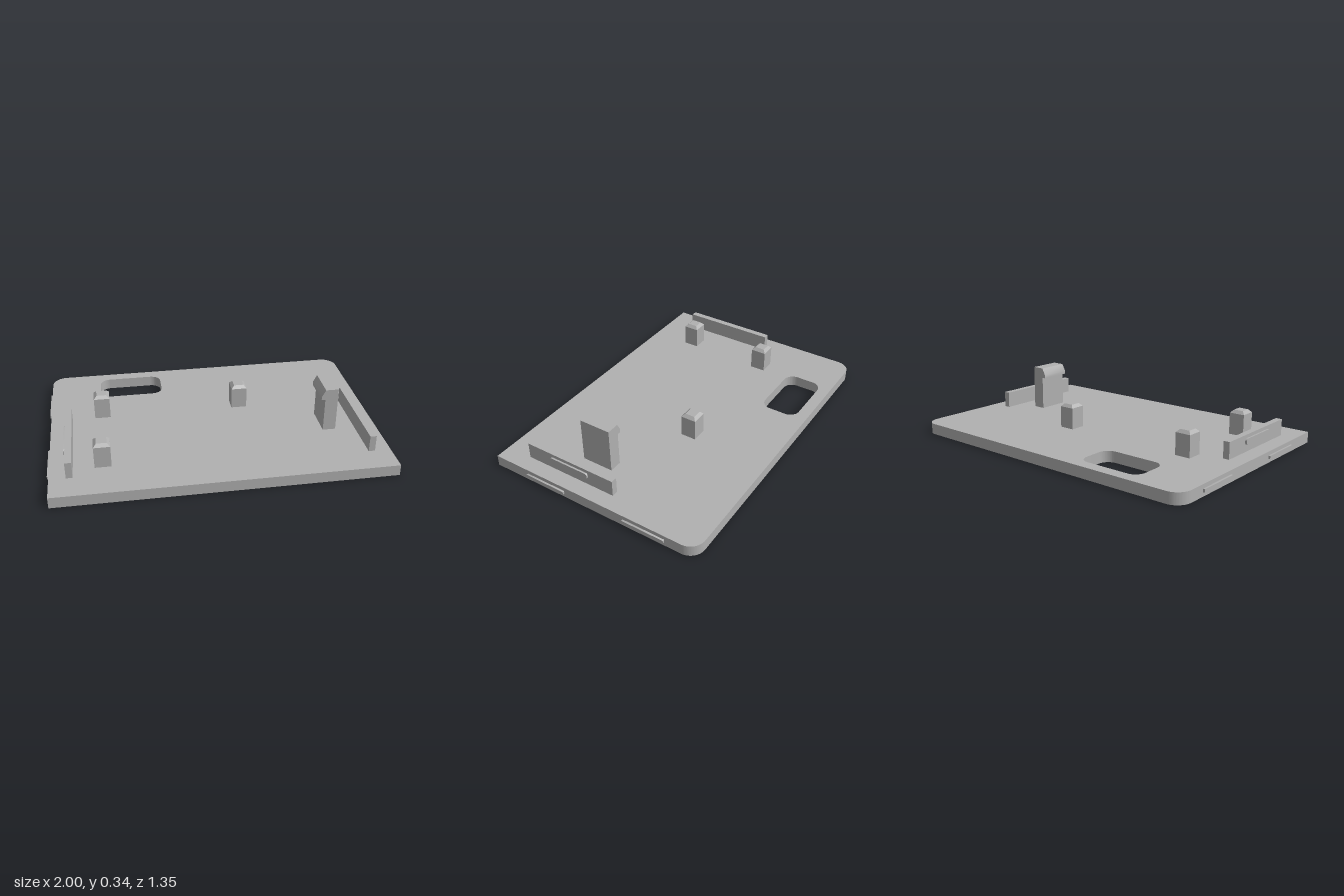
import * as THREE from 'three';
import { toCreasedNormals } from 'three/addons/utils/BufferGeometryUtils.js';

const BASE_TOP = 0.067;

// Rounded rectangle; rb and rt are the lower and upper corner radii
function roundedRect(path, x0, y0, x1, y1, rb, rt) {
  path.moveTo(x0 + rb, y0);
  path.lineTo(x1 - rb, y0);
  if (rb) path.absarc(x1 - rb, y0 + rb, rb, -Math.PI / 2, 0, false);
  path.lineTo(x1, y1 - rt);
  path.absarc(x1 - rt, y1 - rt, rt, 0, Math.PI / 2, false);
  path.lineTo(x0 + rt, y1);
  path.absarc(x0 + rt, y1 - rt, rt, Math.PI / 2, Math.PI, false);
  path.lineTo(x0, y0 + rb);
  if (rb) path.absarc(x0 + rb, y0 + rb, rb, Math.PI, Math.PI * 1.5, false);
  return path;
}

function extrude(shape, depth) {
  const geo = new THREE.ExtrudeGeometry(shape, { depth, bevelEnabled: false, curveSegments: 12 });
  return toCreasedNormals(geo, 0.5);
}

export function createModel() {
  const group = new THREE.Group();
  const grey = new THREE.MeshStandardMaterial({ color: 0xb0b0b0 });
  grey.name = 'grey plastic';

  function add(name, geo, x = 0, y = 0, z = 0, parent = group) {
    const mesh = new THREE.Mesh(geo, grey);
    mesh.name = name;
    mesh.position.set(x, y, z);
    parent.add(mesh);
    return mesh;
  }

  // Cover plate with rounded back corners and a window
  const plate = roundedRect(new THREE.Shape(), -0.988, -0.677, 0.988, 0.677, 0, 0.09);
  plate.holes.push(roundedRect(new THREE.Path(), -0.67, 0.37, -0.267, 0.605, 0.065, 0.065));
  add('coverPlate', extrude(plate, BASE_TOP).rotateX(-Math.PI / 2));

  // Square pegs with chamfered tops
  const W = 0.096, CHAMFER = 0.018, PEG_TOP = 0.217;
  const frustum = (bottom, top, h) => new THREE.CylinderGeometry(
    top / Math.SQRT2, bottom / Math.SQRT2, h, 4).rotateY(Math.PI / 4).toNonIndexed();
  const shaftH = PEG_TOP - CHAMFER - BASE_TOP;
  for (const [x, z] of [[-0.668, -0.156], [0.199, -0.156], [-0.684, 0.385]]) {
    const peg = new THREE.Group();
    peg.name = 'peg';
    peg.position.set(x, BASE_TOP, z);
    add('pegShaft', new THREE.BoxGeometry(W, shaftH, W), 0, shaftH / 2, 0, peg);
    const cap = frustum(W, W - 0.036, CHAMFER);
    cap.computeVertexNormals();
    add('pegChamfer', cap, 0, shaftH + CHAMFER / 2, 0, peg);
    group.add(peg);
  }

  // Snap hook with a lip facing inward
  const hook = new THREE.Shape([
    [0.655, BASE_TOP], [0.733, BASE_TOP], [0.733, 0.342], [0.655, 0.342],
    [0.632, 0.298], [0.632, 0.277], [0.655, 0.277],
  ].map(([x, y]) => new THREE.Vector2(x, y)));
  add('snapHook', extrude(hook, 0.196), 0, 0, 0.046);

  // Thin ridge running along z, standing out sideways
  const ridge = (len, h, r, thick) => {
    const s = roundedRect(new THREE.Shape(), -len / 2, -h / 2, len / 2, h / 2, r, r);
    return extrude(s, thick).translate(0, 0, -thick / 2).rotateY(Math.PI / 2);
  };

  // Mirrored side rails, their latch ridges and the edge ridges
  for (const side of [1, -1]) {
    add('sideRail', new THREE.BoxGeometry(0.038, 0.1, 0.595), side * 0.873, BASE_TOP + 0.05, 0.2125);
    add('railRidge', ridge(0.264, 0.037, 0.015, 0.022), side * 0.892, 0.128, 0.214);
    for (const z of [-0.352, 0.313]) {
      add('edgeRidge', ridge(0.266, 0.02, 0.002, 0.024), side * 0.988, 0.0335, z);
    }
  }
  return group;
}
